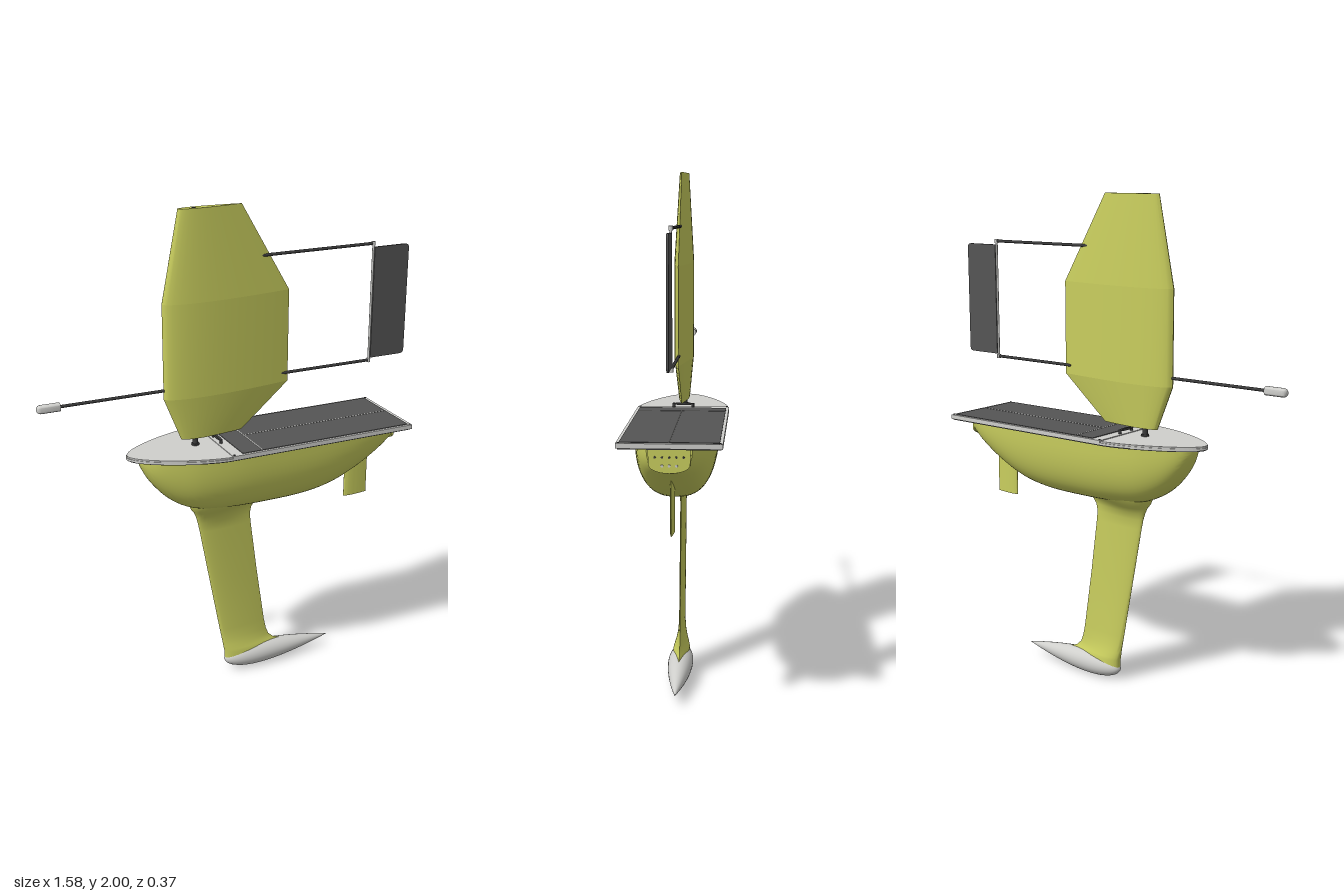
import * as THREE from 'three';
import { toCreasedNormals } from 'three/addons/utils/BufferGeometryUtils.js';

const mat = (name, color, side = THREE.FrontSide) => {
  const m = new THREE.MeshStandardMaterial({ color, side });
  m.name = name;
  return m;
};

// Skin a list of closed rings and cap both ends
function loft(rings, crease = 0.7) {
  const n = rings[0].length, pos = [], idx = [];
  rings.forEach(r => r.forEach(p => pos.push(...p)));
  for (let k = 0; k < rings.length - 1; k++) {
    for (let i = 0; i < n; i++) {
      const j = (i + 1) % n, a = k * n + i, a1 = k * n + j;
      idx.push(a, a + n, a1, a1, a + n, a1 + n);
    }
  }
  [0, rings.length - 1].forEach(k => {
    const c = pos.length / 3;
    pos.push(...[0, 1, 2].map(d => rings[k].reduce((s, p) => s + p[d], 0) / n));
    for (let i = 0; i < n; i++) {
      const a = k * n + i, b = k * n + (i + 1) % n;
      k === 0 ? idx.push(c, a, b) : idx.push(c, b, a);
    }
  });
  const g = new THREE.BufferGeometry();
  g.setAttribute('position', new THREE.Float32BufferAttribute(pos, 3));
  g.setIndex(idx);
  return toCreasedNormals(g, crease);
}

// Normalised half thickness of a symmetric foil, u = 0 at the leading edge
const foilT = u => 10 * (0.2969 * Math.sqrt(u) - 0.126 * u - 0.3516 * u * u + 0.2843 * u ** 3 - 0.1036 * u ** 4);

// Horizontal foil section [y, leading x, trailing x, half thickness]
function foil([y, x0, x1, t], n = 36) {
  return Array.from({ length: n }, (_, i) => {
    const a = (i / n) * Math.PI * 2, u = (1 + Math.cos(a)) / 2;
    return [x0 + (x1 - x0) * u, y, Math.sign(Math.sin(a)) * t * Math.max(foilT(u), 0)];
  });
}

// Deck outline with a pointed, curved bow; inset shrinks it
function deckShape(inset) {
  const w = 0.185 - inset, b = -0.45 + inset, s = new THREE.Shape();
  s.moveTo(0.73 - inset, -w);
  s.lineTo(0.73 - inset, w);
  s.lineTo(-0.08, w);
  s.bezierCurveTo(-0.2, w, b, 0.07, b, 0);
  s.bezierCurveTo(b, -0.07, -0.2, -w, -0.08, -w);
  s.closePath();
  return s;
}

export function createModel() {
  const yellow = mat('hull yellow', 0xc9ce5e);
  const grey = mat('deck grey', 0xcfcfcc);
  const dark = mat('panel dark grey', 0x555555);
  const black = mat('spar charcoal', 0x3c3c3c);
  const model = new THREE.Group();
  model.name = 'sailingDrone';

  const add = (name, geo, material, x = 0, y = 0, z = 0) => {
    const m = new THREE.Mesh(geo, material);
    m.name = name;
    m.position.set(x, y, z);
    model.add(m);
    return m;
  };
  const box = (name, m, w, h, d, x, y, z) => add(name, new THREE.BoxGeometry(w, h, d), m, x, y, z);
  const rod = (name, m, r, x0, x1, y, z = 0) =>
    add(name, new THREE.CylinderGeometry(r, r, x1 - x0, 14).rotateZ(Math.PI / 2), m, (x0 + x1) / 2, y, z);
  const post = (name, m, r, x, y0, y1, z = 0) =>
    add(name, new THREE.CylinderGeometry(r, r, y1 - y0, 16), m, x, (y0 + y1) / 2, z);
  const slab = (name, m, inset, y0, y1) =>
    add(name, new THREE.ExtrudeGeometry(deckShape(inset), { depth: y1 - y0, bevelEnabled: false, curveSegments: 24 })
      .rotateX(-Math.PI / 2), m, 0, y0);

  // Hull: smooth curves through [x, half width, bottom height]
  const stations = [
    [-0.402, 0.012, 1.035], [-0.385, 0.045, 0.995], [-0.35, 0.075, 0.935], [-0.28, 0.107, 0.86],
    [-0.19, 0.134, 0.81], [-0.05, 0.152, 0.789], [0.12, 0.156, 0.784], [0.3, 0.154, 0.79],
    [0.42, 0.148, 0.813], [0.54, 0.135, 0.865], [0.64, 0.114, 0.925], [0.708, 0.08, 0.965],
  ];
  const hullCurve = new THREE.CatmullRomCurve3(stations.map(s => new THREE.Vector3(...s)));
  const pw = (v, e) => Math.sign(v) * Math.abs(v) ** e;
  const hullRings = hullCurve.getPoints(44).map(p =>
    Array.from({ length: 33 }, (_, i) => {
      const a = (i / 32) * Math.PI;
      return [p.x, 1.052 - (1.052 - p.z) * pw(Math.sin(a), 0.78), -p.y * pw(Math.cos(a), 0.78)];
    }));
  add('hull', loft(hullRings), yellow);

  // Transom plate with fittings
  const t = new THREE.Shape();
  t.moveTo(-0.075, 1.048);
  t.lineTo(-0.072, 0.99);
  t.quadraticCurveTo(-0.06, 0.965, 0, 0.963);
  t.quadraticCurveTo(0.06, 0.965, 0.072, 0.99);
  t.lineTo(0.075, 1.048);
  t.closePath();
  add('transomPlate', new THREE.ExtrudeGeometry(t, { depth: 0.009, bevelEnabled: false }).rotateY(Math.PI / 2), yellow, 0.706);
  for (const z of [-0.05, -0.025, 0, 0.025, 0.05]) {
    rod('transomFitting', black, 0.004, 0.71, 0.718, 1.02, z);
    if (Math.abs(z) < 0.04) rod('transomFitting', grey, 0.005, 0.71, 0.718, 0.99, z);
  }

  // Deck and solar panel
  slab('deckUnderside', dark, 0.006, 1.048, 1.052);
  slab('deckLower', grey, 0, 1.052, 1.061);
  slab('deckUpper', grey, 0.004, 1.061, 1.067);
  box('panelFrame', grey, 0.81, 0.012, 0.37, 0.325, 1.064, 0);
  box('solarPanel', dark, 0.75, 0.004, 0.348, 0.34, 1.0705, 0);
  box('panelSeamAcross', grey, 0.004, 0.002, 0.348, 0.05, 1.0725, 0);
  box('panelSeamAlong', grey, 0.665, 0.002, 0.003, 0.3825, 1.0725, 0);
  for (const z of [-0.176, 0.176])
    for (const x of [-0.072, 0.722]) post('panelBolt', black, 0.004, x, 1.065, 1.073, z);
  rod('deckCleatBar', black, 0.005, -0.07, -0.06, 1.083).scale.set(1, 1, 8);
  for (const z of [-0.038, 0.038]) post('deckCleatPost', black, 0.006, -0.065, 1.06, 1.086, z);

  // Keel with flared fillets at both ends: [y, leading x, trailing x, half thickness]
  const keel = [
    [0.05, -0.033, 0.26, 0.034], [0.09, -0.035, 0.235, 0.033], [0.103, -0.038, 0.198, 0.029],
    [0.125, -0.042, 0.174, 0.022], [0.155, -0.048, 0.162, 0.016], [0.2, -0.057, 0.152, 0.012],
    [0.45, -0.103, 0.115, 0.012], [0.68, -0.145, 0.085, 0.012], [0.72, -0.153, 0.081, 0.014],
    [0.75, -0.161, 0.087, 0.025], [0.772, -0.17, 0.104, 0.04], [0.787, -0.182, 0.14, 0.055],
    [0.81, -0.19, 0.19, 0.07],
  ];
  add('keel', loft(keel.map(s => foil(s)), 0.9), yellow);

  // Ballast bulb: revolved foil
  const bulb = Array.from({ length: 33 }, (_, i) => {
    const u = (1 - Math.cos((i / 32) * Math.PI)) / 2;
    return new THREE.Vector2(Math.max(0.05 * foilT(u), 0), u * 0.5);
  });
  add('ballastBulb', new THREE.LatheGeometry(bulb, 32).rotateZ(-Math.PI / 2), grey, -0.035, 0.05);

  // Rudder
  add('rudder', loft([[0.715, 0.525, 0.635, 0.008], [0.93, 0.525, 0.635, 0.008]].map(s => foil(s))), yellow);

  // Wing sail in three creased bands
  const sail = [
    [1.1, -0.22, 0.04, 0.021], [1.275, -0.29, 0.245, 0.038],
    [1.65, -0.29, 0.245, 0.038], [2, -0.22, 0.04, 0.018],
  ];
  ['wingSailLower', 'wingSailMiddle', 'wingSailUpper'].forEach((name, i) =>
    add(name, loft([foil(sail[i]), foil(sail[i + 1])]), yellow));
  post('mast', black, 0.011, -0.16, 1.06, 1.12);
  post('mastCollar', black, 0.016, -0.16, 1.064, 1.074);
  post('mastTip', black, 0.009, -0.155, 1.99, 2.0005);

  // Forward boom with counterweight
  rod('forwardBoom', black, 0.006, -0.71, -0.27, 1.31);
  const weight = [[0, 0], [0.009, 0.002], [0.015, 0.008], [0.017, 0.016], [0.017, 0.09], [0, 0.09]];
  add('counterweight', toCreasedNormals(new THREE.LatheGeometry(weight.map(p => new THREE.Vector2(...p)), 24)
    .rotateZ(-Math.PI / 2), 0.8), grey, -0.793, 1.31);

  // Tail booms, post and vane
  rod('lowerTailBoom', black, 0.006, 0.215, 0.62, 1.31);
  rod('upperTailBoom', black, 0.006, 0.125, 0.62, 1.795);
  post('tailPost', grey, 0.0045, 0.62, 1.31, 1.795);
  for (const y of [1.31, 1.795]) post('tailPostCap', grey, 0.008, 0.62, y - 0.008, y + 0.008);
  const v = new THREE.Shape(), r = 0.018;
  v.moveTo(0.626, 1.32);
  v.lineTo(0.785 - r, 1.32);
  v.quadraticCurveTo(0.785, 1.32, 0.785, 1.32 + r);
  v.lineTo(0.785, 1.78 - r);
  v.quadraticCurveTo(0.785, 1.78, 0.785 - r, 1.78);
  v.lineTo(0.626, 1.78);
  v.closePath();
  add('tailVane', new THREE.ExtrudeGeometry(v, { depth: 0.008, bevelEnabled: false }), dark, 0, 0, -0.004);

  return model;
}
